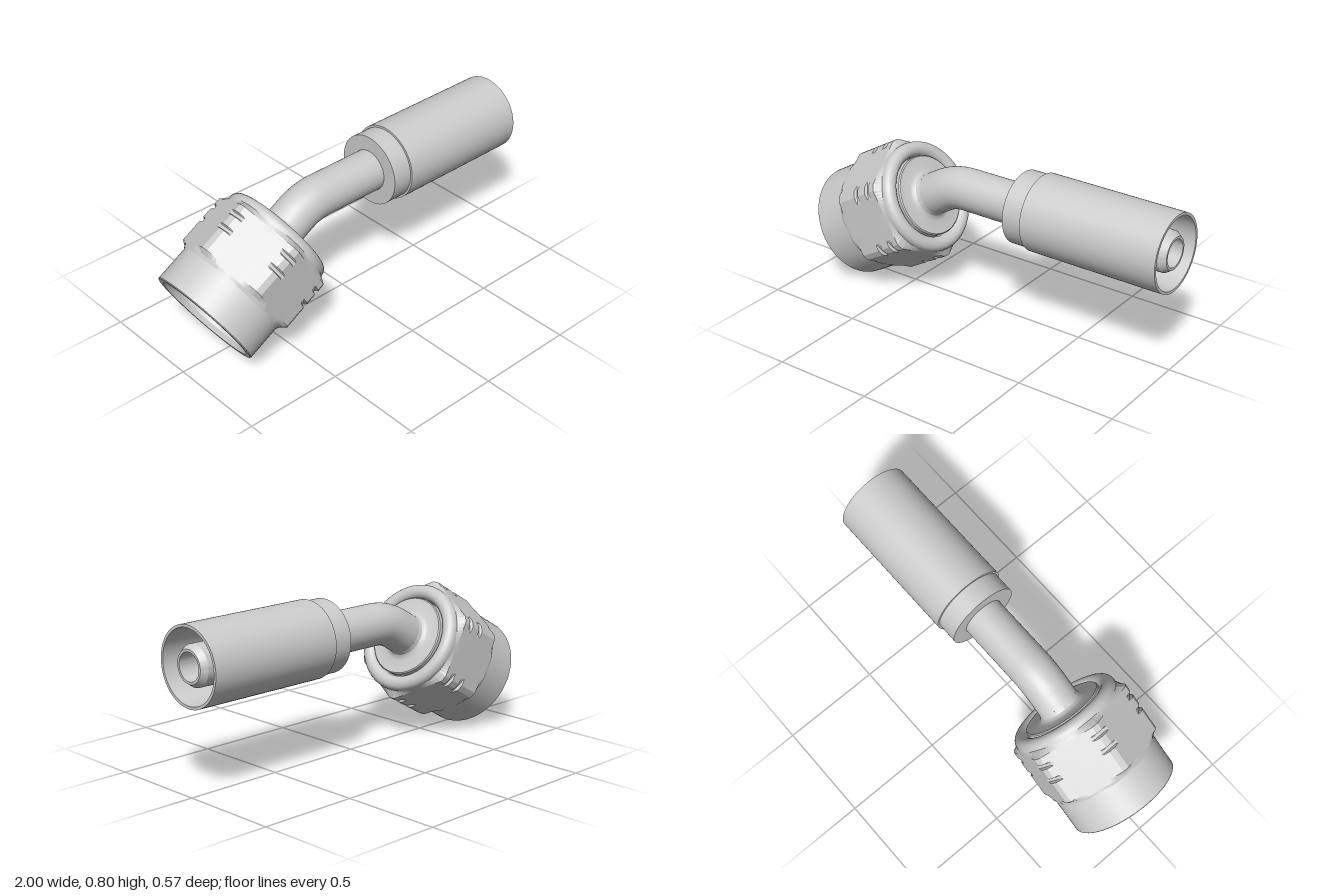
import * as THREE from 'three';
import { toCreasedNormals } from 'three/addons/utils/BufferGeometryUtils.js';

const material = new THREE.MeshStandardMaterial({ color: 0xcccccc, side: THREE.DoubleSide });
const AXIS_Y = 0.608;                                   // height of the straight section
const TILT = Math.PI / 6;                               // bend angle
const NUT = new THREE.Vector3(-0.86, 0.243, 0);         // centre of the nut's open end
const DIR = new THREE.Vector3(Math.cos(TILT), Math.sin(TILT), 0);

function addMesh(parent, name, geometry) {
  const mesh = new THREE.Mesh(geometry, material);
  mesh.name = name;
  parent.add(mesh);
  return mesh;
}

// Turned part from a closed [radius, distance along axis] profile
function turned(profile) {
  const pts = [...profile, profile[0]].map(([r, t]) => new THREE.Vector2(r, t));
  return toCreasedNormals(new THREE.LatheGeometry(pts, 72), 0.5);
}

// Hexagon prism whose corners are trimmed to a limiting radius at each level
function hexBody() {
  const apothem = 0.283, full = 0.3176, cut = 0.3031;
  const levels = [[0.175, 0.279], [0.195, 0.29], [0.215, full]];
  for (const t of [0.345, 0.425]) {                     // two rows of corner notches
    levels.push([t - 0.013, full], [t - 0.008, cut], [t + 0.008, cut], [t + 0.013, full]);
  }
  levels.push([0.475, full], [0.502, 0.279]);
  const n = 120, positions = [], index = [];
  levels.forEach(([t, cap], row) => {
    for (let i = 0; i < n; i++) {
      const a = (i / n) * Math.PI * 2;
      const fromFlat = (((i * 3) % 60) - 30) * Math.PI / 180;
      const r = Math.min(apothem / Math.cos(fromFlat), cap);
      positions.push(r * Math.cos(a), t, r * Math.sin(a));
      if (row) {
        const j = (i + 1) % n, lo = (row - 1) * n, hi = row * n;
        index.push(lo + i, hi + i, hi + j, lo + i, hi + j, lo + j);
      }
    }
  });
  const g = new THREE.BufferGeometry();
  g.setAttribute('position', new THREE.Float32BufferAttribute(positions, 3));
  g.setIndex(index);
  return toCreasedNormals(g, 0.2);
}

// Centre line of the bent tube, from inside the nut to a given x
function tubePath(tStart, xEnd) {
  const reach = (AXIS_Y - NUT.y) / DIR.y;
  const corner = NUT.clone().addScaledVector(DIR, reach);
  const bendIn = corner.clone().addScaledVector(DIR, -0.08);
  const bendOut = corner.clone().add(new THREE.Vector3(0.08, 0, 0));
  const path = new THREE.CurvePath();
  path.add(new THREE.LineCurve3(NUT.clone().addScaledVector(DIR, tStart), bendIn));
  path.add(new THREE.QuadraticBezierCurve3(bendIn, corner, bendOut));
  path.add(new THREE.LineCurve3(bendOut, new THREE.Vector3(xEnd, AXIS_Y, 0)));
  return path;
}

export function createModel() {
  const model = new THREE.Group();
  model.name = 'angledHoseFitting';

  // Swivel nut, local y running from its open end towards the tube
  const nut = new THREE.Group();
  nut.name = 'swivelNut';
  nut.position.copy(NUT);
  nut.rotation.z = TILT - Math.PI / 2;
  model.add(nut);

  const lip = [];
  for (let i = 0; i <= 12; i++) {
    const a = (i / 12) * Math.PI;
    lip.push([0.245 + 0.037 * Math.cos(a), 0.508 + 0.037 * Math.sin(a)]);
  }
  addMesh(nut, 'nutSleeve', turned([
    [0.252, 0], [0.277, 0], [0.281, 0.004], [0.281, 0.49], ...lip,
    [0.208, 0.42], [0.235, 0.4], [0.235, 0.025],
  ]));
  addMesh(nut, 'nutHexagon', hexBody());

  // Flared seat and collar held inside the nut
  addMesh(nut, 'seatCollar', turned([
    [0.068, 0.42], [0.19, 0.28], [0.204, 0.28], [0.204, 0.535], [0.199, 0.541],
    [0.135, 0.541], [0.12, 0.546], [0.11, 0.556], [0.105, 0.575], [0.068, 0.575],
  ]));

  // Bent tube and its bore
  addMesh(model, 'bentTube', new THREE.TubeGeometry(tubePath(0.5, 0.3), 80, 0.105, 48));
  addMesh(model, 'tubeBore', new THREE.TubeGeometry(tubePath(0.42, 0.4), 80, 0.068, 40));

  // Crimp ferrule and hose stem, turned about the straight axis
  const hoseEnd = new THREE.Group();
  hoseEnd.name = 'hoseEnd';
  hoseEnd.position.y = AXIS_Y;
  hoseEnd.rotation.z = -Math.PI / 2;
  model.add(hoseEnd);
  addMesh(hoseEnd, 'ferrule', turned([
    [0.1, 0.175], [0.181, 0.175], [0.181, 0.28], [0.192, 0.28], [0.192, 1],
    [0.178, 1], [0.15, 0.36], [0.1, 0.36],
  ]));
  addMesh(hoseEnd, 'hoseStem', turned([
    [0.068, 0.28], [0.1, 0.28], [0.1, 0.965], [0.08, 0.995], [0.068, 0.995],
  ]));

  return model;
}
